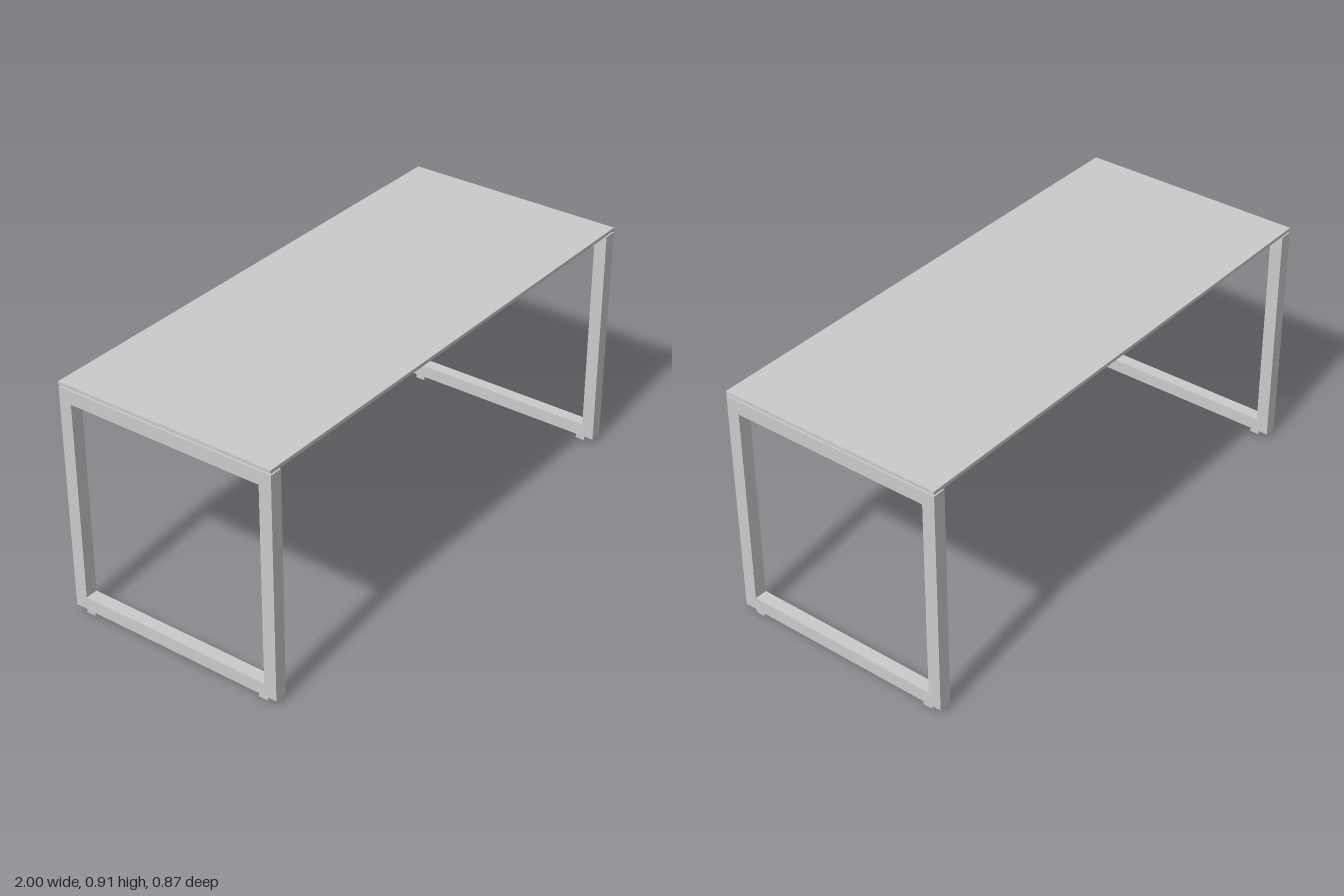
import * as THREE from 'three';

const material = new THREE.MeshStandardMaterial({ color: 0xcccccc });

function box(name, w, h, d, x, y, z) {
  const mesh = new THREE.Mesh(new THREE.BoxGeometry(w, h, d), material);
  mesh.name = name;
  mesh.position.set(x, y, z);
  return mesh;
}

// Closed rectangular loop of square tube, standing in the YZ plane
function legFrame(width) {
  const halfZ = 0.435, innerZ = 0.386;
  const shape = new THREE.Shape([
    new THREE.Vector2(-halfZ, 0.02), new THREE.Vector2(halfZ, 0.02),
    new THREE.Vector2(halfZ, 0.89), new THREE.Vector2(-halfZ, 0.89),
  ]);
  shape.holes.push(new THREE.Path([
    new THREE.Vector2(-innerZ, 0.07), new THREE.Vector2(-innerZ, 0.838),
    new THREE.Vector2(innerZ, 0.838), new THREE.Vector2(innerZ, 0.07),
  ]));
  const geometry = new THREE.ExtrudeGeometry(shape, { depth: width, bevelEnabled: false });
  geometry.translate(0, 0, -width / 2);
  geometry.rotateY(Math.PI / 2);
  const mesh = new THREE.Mesh(geometry, material);
  mesh.name = 'legFrame';
  return mesh;
}

export function createModel() {
  const model = new THREE.Group();
  model.name = 'desk';

  // Thin top
  model.add(box('tableTop', 2, 0.013, 0.87, 0, 0.9025, 0));

  // Mirrored leg frames, each with two feet and two spacers under the top
  for (const side of [-1, 1]) {
    const leg = new THREE.Group();
    leg.name = side > 0 ? 'leftLeg' : 'rightLeg';
    leg.position.x = side * 0.975;
    leg.add(legFrame(0.049));
    for (const end of [-1, 1]) {
      const z = end * 0.376;
      leg.add(box('foot', 0.037, 0.02, 0.037, 0, 0.01, z));
      leg.add(box('topSpacer', 0.037, 0.006, 0.037, 0, 0.893, z));
    }
    model.add(leg);
  }
  return model;
}
